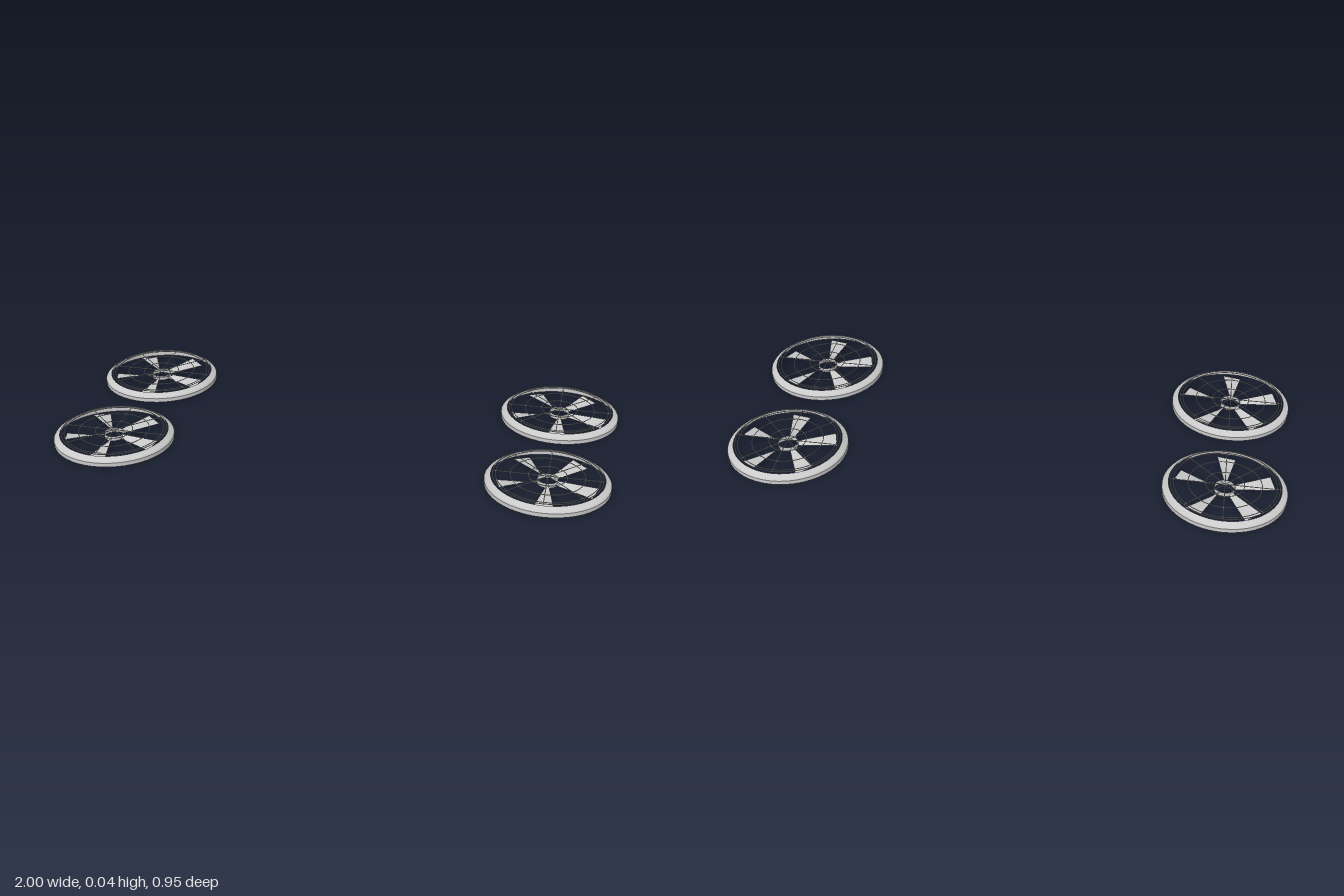
import * as THREE from 'three';
import { toCreasedNormals } from 'three/addons/utils/BufferGeometryUtils.js';

const lightGrey = new THREE.MeshStandardMaterial({ color: 0xcacaca, side: THREE.DoubleSide });
lightGrey.name = 'lightGrey';

const WIRE = 0.0015, GRILLE_Y = 0.0343;

function add(parent, name, geometry) {
  const mesh = new THREE.Mesh(geometry, lightGrey);
  mesh.name = name;
  parent.add(mesh);
  return mesh;
}

// Bevelled rim shell, open towards the middle
function rimGeometry() {
  const profile = [
    [0.217, 0], [0.217, 0.015], [0.213, 0.02], [0.195, 0.031],
  ].map(([r, y]) => new THREE.Vector2(r, y));
  return toCreasedNormals(new THREE.LatheGeometry(profile, 48), 0.3);
}

// Twisted blade along +x: steep at the hub, wide and shallow at the tip
function bladeGeometry() {
  const rows = 6, geometry = new THREE.PlaneGeometry(1, 1, rows, 1);
  const p = geometry.attributes.position;
  for (let i = 0; i < p.count; i++) {
    const t = p.getX(i) + 0.5, side = p.getY(i) * 2;
    const r = 0.035 + t * 0.139;
    const half = 0.005 + t * 0.028;
    const rise = 0.007 - t * 0.003;
    p.setXYZ(i, r, 0.016 - side * rise, side * half);
  }
  // Wind the faces so that they look up
  const index = geometry.index.array;
  for (let i = 0; i < index.length; i += 3) {
    [index[i], index[i + 1]] = [index[i + 1], index[i]];
  }
  geometry.computeVertexNormals();
  return geometry;
}

export function createModel() {
  const model = new THREE.Group();
  model.name = 'fanSet';

  const rim = rimGeometry();
  const blade = bladeGeometry();
  const hub = new THREE.CylinderGeometry(0.036, 0.036, 0.018, 20, 1, true);
  const spoke = new THREE.CylinderGeometry(WIRE, WIRE, 0.378, 6);
  spoke.rotateZ(Math.PI / 2);
  const rings = [0.067, 0.128, 0.179, 0.189].map((r) =>
    new THREE.TorusGeometry(r, WIRE, 6, 48).rotateX(Math.PI / 2));

  for (const x of [-0.783, 0.783]) {
    for (const z of [-0.26, 0.26]) {
      const fan = new THREE.Group();
      fan.name = 'fan';
      fan.position.set(x, 0, z);
      model.add(fan);

      add(fan, 'rim', rim);
      add(fan, 'hub', hub).position.y = 0.016;

      // Five blades, one pointing to the front
      for (let i = 0; i < 5; i++) {
        add(fan, 'blade', blade).rotation.y = -Math.PI / 2 + (i * Math.PI * 2) / 5;
      }

      // Wire guard: rings and crossing spokes
      for (const ring of rings) add(fan, 'guardRing', ring).position.y = GRILLE_Y;
      for (let i = 0; i < 4; i++) {
        const wire = add(fan, 'guardSpoke', spoke);
        wire.position.y = GRILLE_Y;
        wire.rotation.y = (i * Math.PI) / 4;
      }
    }
  }
  return model;
}
